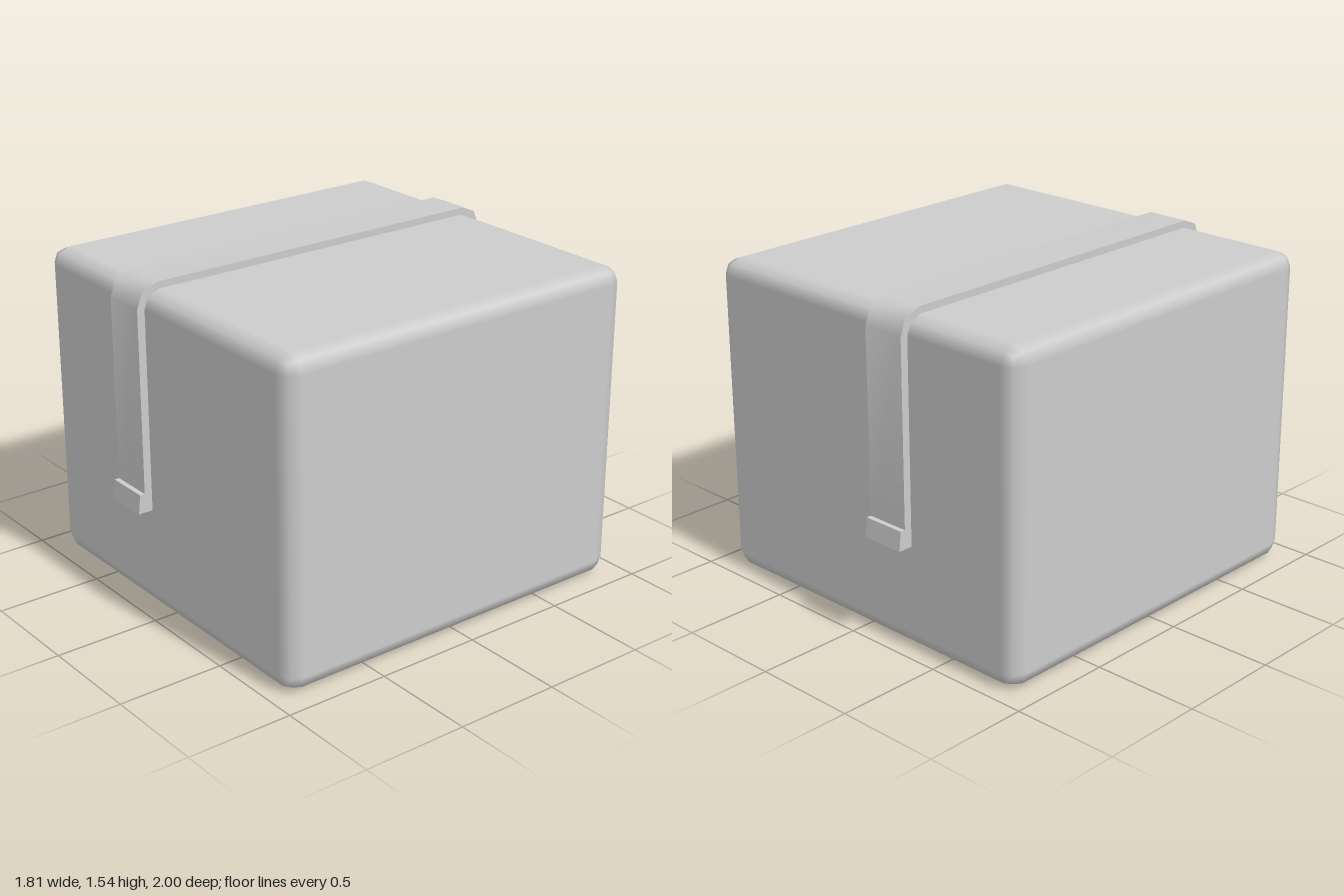
import * as THREE from 'three';
import { RoundedBoxGeometry } from 'three/addons/geometries/RoundedBoxGeometry.js';
import { toCreasedNormals } from 'three/addons/utils/BufferGeometryUtils.js';

const material = new THREE.MeshStandardMaterial({ color: 0xcccccc });
const strapRight = -0.31, strapLeft = -0.10;

// Extrudes a [z, y] outline across the width of the strap
function extrudeAcross(name, points) {
  const shape = new THREE.Shape(points.map(([z, y]) => new THREE.Vector2(z, y)));
  const geometry = new THREE.ExtrudeGeometry(shape, { depth: strapLeft - strapRight, bevelEnabled: false });
  geometry.rotateY(-Math.PI / 2);
  geometry.translate(strapLeft, 0, 0);
  const mesh = new THREE.Mesh(toCreasedNormals(geometry, 0.9), material);
  mesh.name = name;
  return mesh;
}

export function createModel() {
  const group = new THREE.Group();
  group.name = 'strappedBox';

  // Box with softly bevelled edges
  const box = new THREE.Mesh(new RoundedBoxGeometry(1.81, 1.51, 1.858, 1, 0.077), material);
  box.name = 'box';
  box.position.y = 0.755;
  group.add(box);

  // Strap folded over the top and down the front and back
  const outer = [[0.966, 0.5], [0.966, 1.437], [0.937, 1.512], [0.862, 1.543]];
  const inner = [[0.851, 1.508], [0.904, 1.486], [0.927, 1.433], [0.927, 0.5]];
  const mirror = (points) => points.map(([z, y]) => [-z, y]).reverse();
  group.add(extrudeAcross('strap', [...outer, ...mirror(outer), ...mirror(inner), ...inner]));

  // Tapered clip at each end of the strap
  const clip = [[0.925, 0.488], [1, 0.488], [0.99, 0.578], [0.925, 0.578]];
  group.add(extrudeAcross('frontClip', clip), extrudeAcross('backClip', mirror(clip)));

  return group;
}
